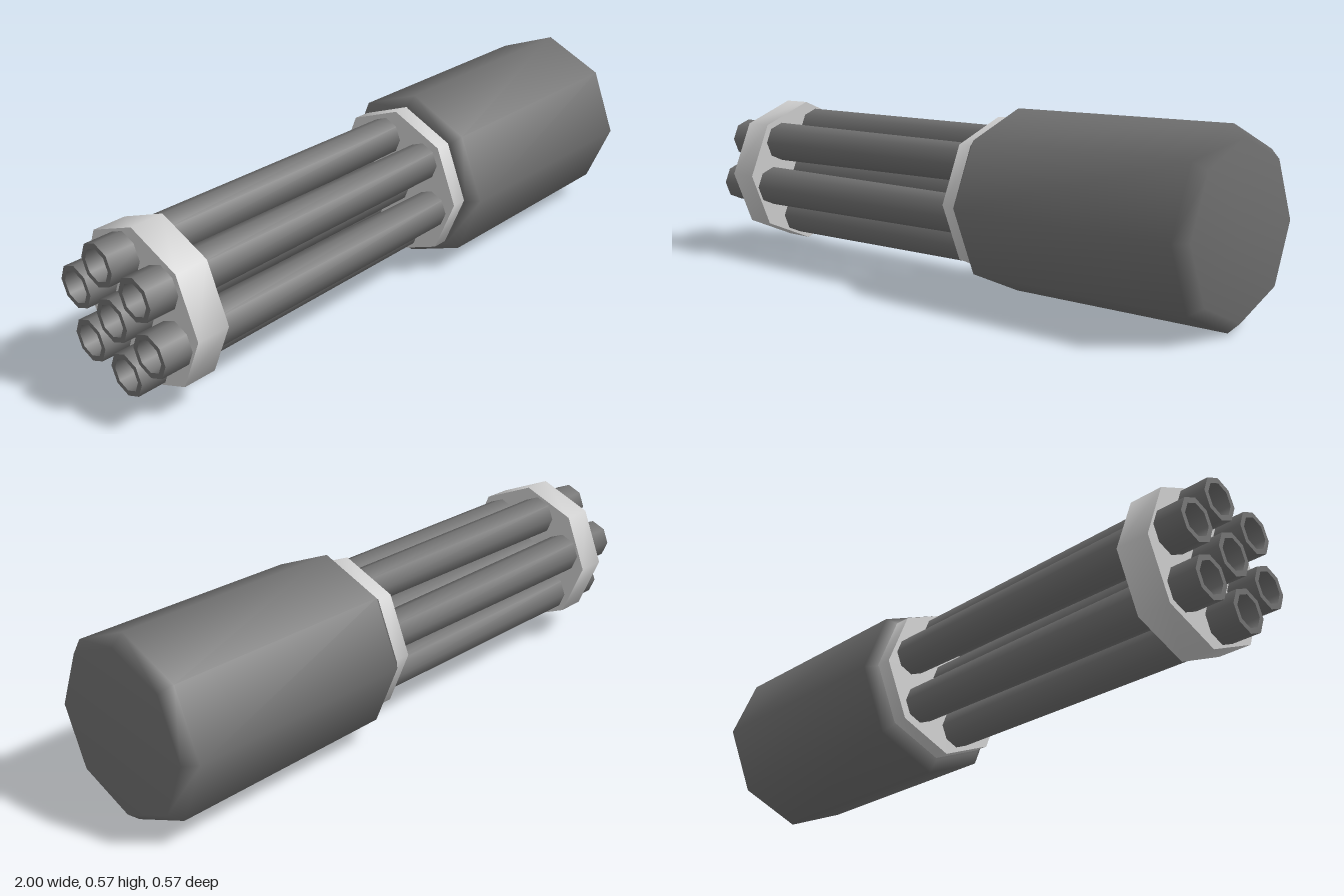
import * as THREE from 'three';
import { mergeVertices, toCreasedNormals } from 'three/addons/utils/BufferGeometryUtils.js';

const SIDES = 8;

// Eight-sided solid turned around the x axis from [radius, x] pairs
function turned(profile) {
  const points = profile.map(([r, x]) => new THREE.Vector2(r, x));
  return new THREE.LatheGeometry(points, SIDES).rotateZ(-Math.PI / 2);
}

// Soft normals weighted by face area
function softened(geometry) {
  geometry.deleteAttribute('uv');
  geometry.deleteAttribute('normal');
  const merged = mergeVertices(geometry, 1e-5);
  merged.computeVertexNormals();
  return merged;
}

export function createModel() {
  const model = new THREE.Group();
  model.name = 'rotaryBarrelAssembly';
  const dark = new THREE.MeshStandardMaterial({ color: 0x6e6e6e });
  const light = new THREE.MeshStandardMaterial({ color: 0xcccccc });

  const add = (parent, name, geometry, material) => {
    const mesh = new THREE.Mesh(geometry, material);
    mesh.name = name;
    parent.add(mesh);
    return mesh;
  };

  // Housing with chamfered ends
  const housing = add(model, 'housing', softened(turned([
    [0, 0.18], [0.25, 0.18], [0.283, 0.215], [0.283, 0.963], [0.25, 1], [0, 1],
  ])), dark);
  housing.position.y = 0.283;

  // Barrel cluster, a touch off the housing axis
  const cluster = new THREE.Group();
  cluster.name = 'barrelCluster';
  cluster.position.set(0, 0.287, -0.004);
  model.add(cluster);

  // Clamp plates
  const plate = (name, x0, x1) => add(cluster, name,
    toCreasedNormals(turned([[0, x0], [0.248, x0], [0.248, x1], [0, x1]]), 1), light);
  plate('muzzlePlate', -0.91, -0.805);
  plate('rearPlate', 0.13, 0.2);

  // Hollow, slightly tapered barrels: one in the middle, six around it
  const barrelGeometry = toCreasedNormals(turned([
    [0, -0.8], [0.05, -0.8], [0.05, -1], [0.067, -1], [0.067, -0.85], [0.06, 0.16],
  ]), 1);
  add(cluster, 'centerBarrel', barrelGeometry, dark);
  for (let i = 0; i < 6; i++) {
    const angle = THREE.MathUtils.degToRad(45 + i * 60);
    const barrel = add(cluster, 'outerBarrel' + (i + 1), barrelGeometry, dark);
    barrel.position.set(0, 0.16 * Math.sin(angle), 0.16 * Math.cos(angle));
  }
  return model;
}
